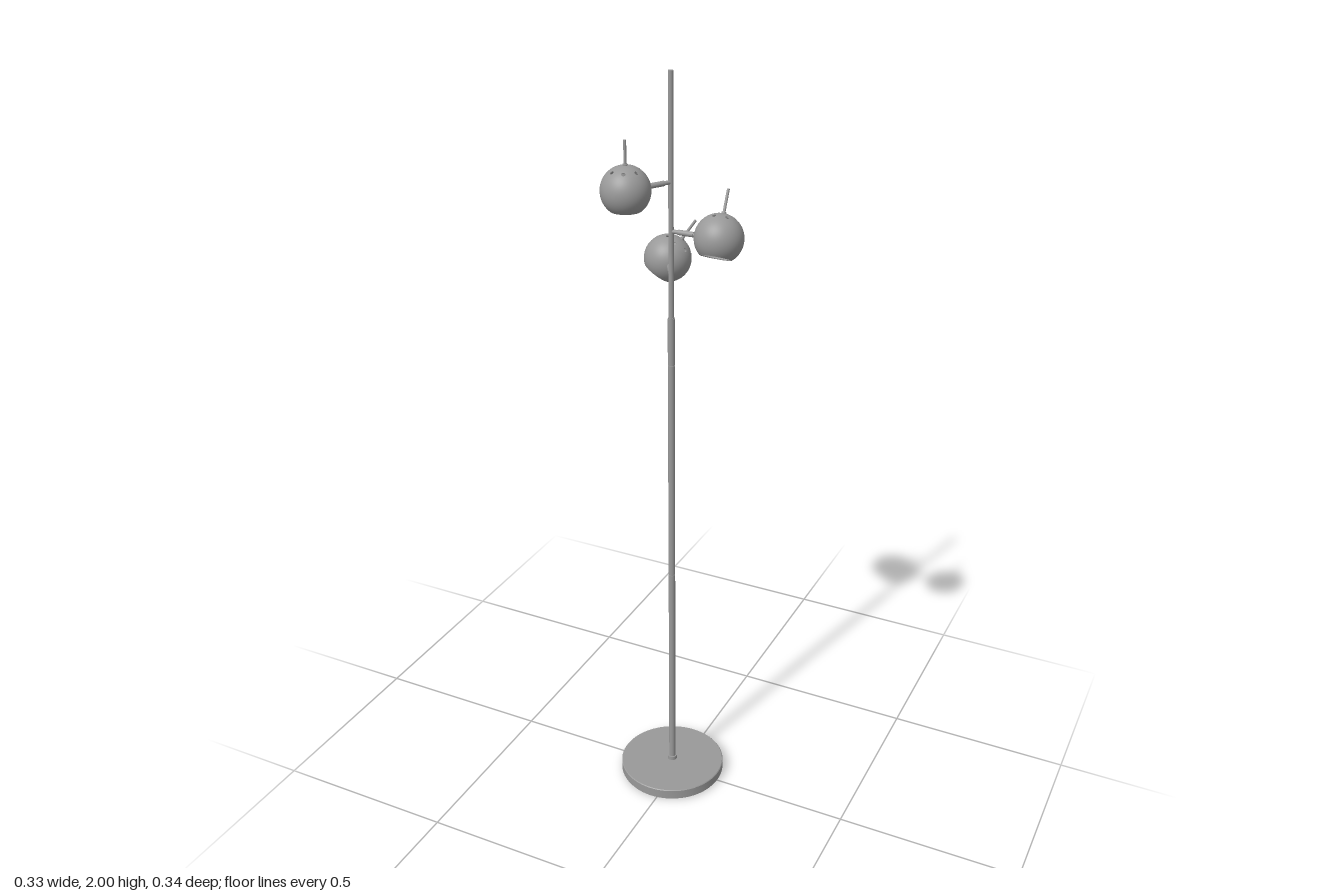
import * as THREE from 'three';
import { mergeGeometries, toCreasedNormals } from 'three/addons/utils/BufferGeometryUtils.js';

const material = new THREE.MeshStandardMaterial({ color: 0x999999, side: THREE.DoubleSide });
const POLE_X = -0.02;

function mesh(name, geometry, parent) {
  const m = new THREE.Mesh(geometry, material);
  m.name = name;
  parent.add(m);
  return m;
}

// Upright round rod between two heights
function rod(name, r, y0, y1, parent) {
  const m = mesh(name, new THREE.CylinderGeometry(r, r, y1 - y0, 24), parent);
  m.position.y = (y0 + y1) / 2;
}

// Round part along local x between two distances
function rodX(name, r, x0, x1, parent) {
  const m = mesh(name, new THREE.CylinderGeometry(r, r, x1 - x0, 20), parent);
  m.rotation.z = -Math.PI / 2;
  m.position.x = (x0 + x1) / 2;
}

// Shade dimensions in hundredths; angles are measured from the top of the sphere
const OUT = 6, IN = 5.8, HOLES = 7, SIDE = 8;
const BAND0 = 0.445, BAND1 = 0.845, CUT = 2.44;
const HALF = Math.PI / HOLES, HOLE = 0.08;

const arc = (r, a, b, n) => Array.from({ length: n + 1 }, (_, i) => {
  const t = a + (b - a) * i / n;
  return new THREE.Vector2(Math.max(0, r * Math.sin(t)), r * Math.cos(t));
});

// One patch of the shell: outer skin, hole wall and inner skin as successive rings
function holePatch(phi0) {
  const mid = (BAND0 + BAND1) / 2, n = SIDE * 4;
  const tri = q => THREE.MathUtils.clamp(2 * (Math.abs(((q + 4) % 4) - 2) - 1), -1, 1);
  const rings = [[OUT, 0], [OUT, 0.35], [OUT, 0.7], [OUT, 1], [IN, 1], [IN, 0.5], [IN, 0]];
  const pos = [], index = [];
  rings.forEach(([r, k], j) => {
    for (let i = 0; i < n; i++) {
      const q = i / SIDE, t = q * Math.PI / 2;
      const dPhi = THREE.MathUtils.lerp(HALF * tri(q), HOLE * Math.cos(t) / Math.sin(mid), k);
      const dTheta = THREE.MathUtils.lerp((BAND1 - BAND0) / 2 * tri(q - 1), HOLE * Math.sin(t), k);
      const phi = phi0 + dPhi, theta = mid + dTheta;
      pos.push(r * Math.sin(theta) * Math.sin(phi), r * Math.cos(theta), r * Math.sin(theta) * Math.cos(phi));
      if (j < rings.length - 1) {
        const a = j * n + i, b = j * n + (i + 1) % n;
        index.push(a, a + n, b, b, a + n, b + n);
      }
    }
  });
  const g = new THREE.BufferGeometry();
  g.setAttribute('position', new THREE.Float32BufferAttribute(pos, 3));
  g.setIndex(index);
  return g;
}

// Thin spherical shell, open below, with a ring of vent holes
function shadeGeometry() {
  const start = Math.PI / 2 - HALF;
  const lathe = pts => {
    const g = new THREE.LatheGeometry(pts, HOLES * SIDE, start, Math.PI * 2);
    g.deleteAttribute('uv');
    g.deleteAttribute('normal');
    return g;
  };
  const parts = [
    lathe([...arc(OUT, BAND0, 0, 6), ...arc(IN, 0, BAND0, 6)]),
    lathe([...arc(IN, BAND1, CUT, 20), ...arc(OUT, CUT, BAND1, 20)]),
  ];
  for (let k = 0; k < HOLES; k++) parts.push(holePatch(Math.PI / 2 + k * 2 * HALF));
  const g = toCreasedNormals(mergeGeometries(parts), 0.6);
  return g.scale(0.01, 0.01, 0.01);
}

export function createModel() {
  const lamp = new THREE.Group();
  lamp.name = 'floorLamp';
  const stand = new THREE.Group();
  stand.name = 'stand';
  stand.position.x = POLE_X;
  lamp.add(stand);

  // Round foot with a slightly inset underside
  const foot = [[0, 0], [0.142, 0], [0.142, 0.006], [0.146, 0.006], [0.146, 0.03], [0.144, 0.032], [0, 0.032]]
    .map(p => new THREE.Vector2(...p));
  mesh('base', toCreasedNormals(new THREE.LatheGeometry(foot, 72).scale(100, 100, 100), 0.5)
    .scale(0.01, 0.01, 0.01), stand);
  rod('baseCollar', 0.013, 0.03, 0.043, stand);

  // Pole in three screwed sections, with a thinner rod on top
  const joints = [0.04, 0.66, 1.275, 1.4];
  for (let i = 0; i < 3; i++) {
    rod('poleSection', 0.009, joints[i], joints[i + 1] - 0.003, stand);
    rod('poleJoint', 0.0075, joints[i + 1] - 0.004, joints[i + 1] + 0.001, stand);
  }
  rod('upperRod', 0.0065, 1.395, 2, stand);

  // Three spotlights: height, heading about the pole, tilt about the arm
  const shade = shadeGeometry();
  const spots = [[1.741, -120, 0], [1.621, 0, -25], [1.511, 120, 36]];
  for (const [y, heading, tilt] of spots) {
    const spot = new THREE.Group();
    spot.name = 'spotlight';
    spot.position.y = y;
    spot.rotation.y = THREE.MathUtils.degToRad(heading);
    stand.add(spot);
    rodX('arm', 0.005, 0.004, 0.07, spot);
    rodX('armSleeve', 0.0065, 0.02, 0.06, spot);

    const head = new THREE.Group();
    head.name = 'head';
    head.position.x = 0.126;
    head.rotation.x = THREE.MathUtils.degToRad(tilt);
    spot.add(head);
    mesh('shade', shade, head);
    rod('handleFlange', 0.006, 0.057, 0.063, head);
    rod('handle', 0.0035, 0.058, 0.118, head);

    // Bulb and its socket inside the shade
    rod('socket', 0.014, 0.015, 0.057, head);
    mesh('bulb', new THREE.SphereGeometry(0.027, 32, 20), head).position.y = -0.005;
  }
  return lamp;
}
